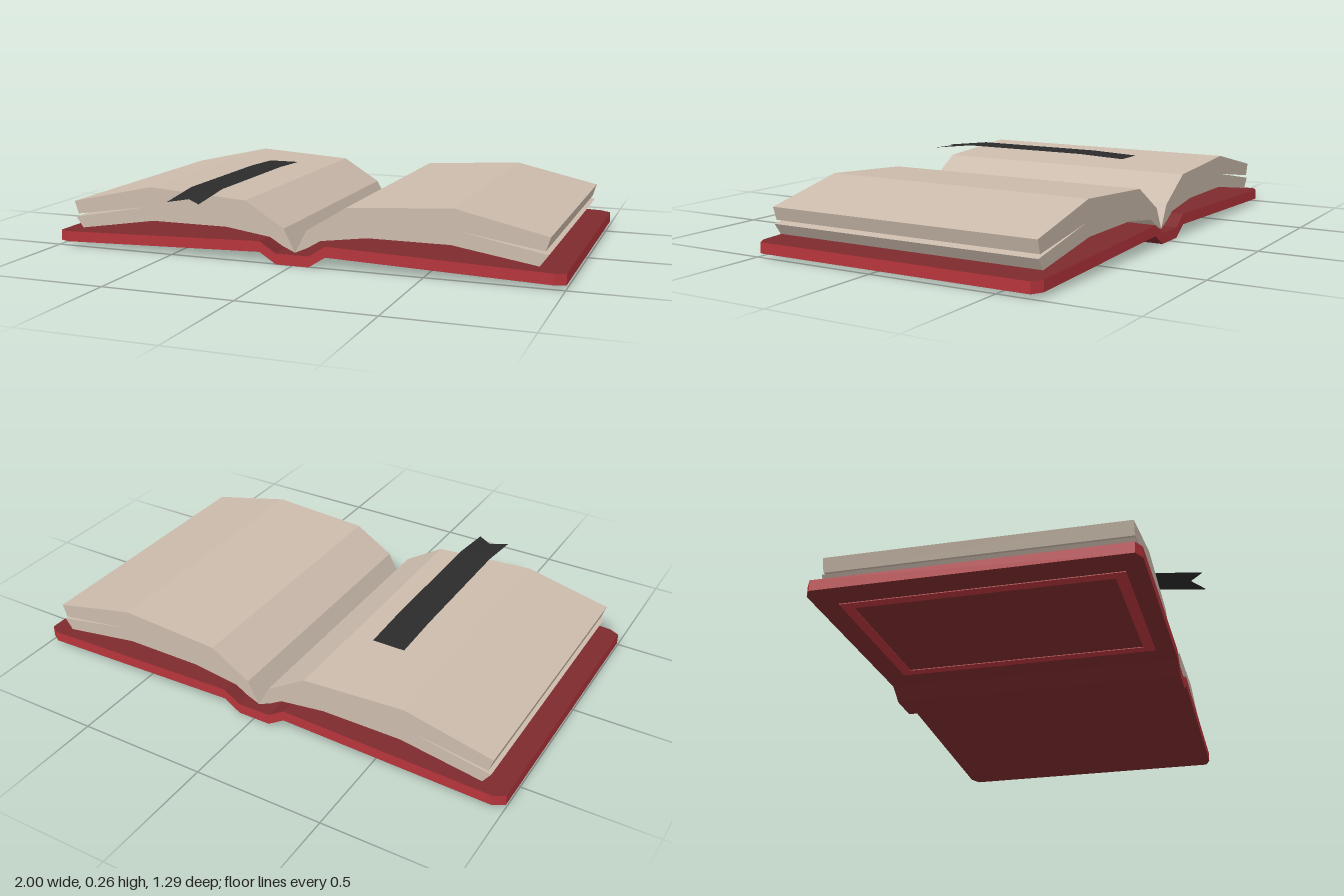
import * as THREE from 'three';

const mat = (name, color, side = THREE.FrontSide) => {
  const m = new THREE.MeshStandardMaterial({ color, side });
  m.name = name;
  return m;
};

// Horizontal slab from a plan outline [x, z], its top following height(x)
function slab(outline, depth, height, hole) {
  const shape = new THREE.Shape(outline.map(([x, z]) => new THREE.Vector2(x, z)));
  if (hole) shape.holes.push(new THREE.Path(hole.map(([x, z]) => new THREE.Vector2(x, z))));
  const g = new THREE.ExtrudeGeometry(shape, { depth, bevelEnabled: false });
  g.rotateX(Math.PI / 2);
  const p = g.attributes.position;
  for (let i = 0; i < p.count; i++) p.setY(i, p.getY(i) + height(p.getX(i)));
  g.computeVertexNormals();
  return g;
}

const rect = (x0, x1, z0, z1) => [[x0, z0], [x1, z0], [x1, z1], [x0, z1]];

export function createModel() {
  const book = new THREE.Group();
  book.name = 'openBook';
  const dark = mat('dark red cover', 0x7d2a2d);
  const red = mat('bright red edge', 0xb5343b);
  const paper = mat('beige paper', 0xcbbbac);
  const black = mat('black ribbon', 0x2b2b2b, THREE.DoubleSide);
  const add = (name, geometry, material) => {
    const mesh = new THREE.Mesh(geometry, material);
    mesh.name = name;
    book.add(mesh);
    return mesh;
  };

  // Height of the cover's top: boards slope up to the hinge, spine lies low
  const T = 0.041, Z0 = -0.65, Z1 = 0.505;
  const coverTop = (x) => {
    const a = Math.abs(x);
    if (a >= 0.13) return 0.083 - (a - 0.13) / 0.87 * 0.027;
    return a <= 0.065 ? T : T + (a - 0.065) / 0.065 * (0.083 - T);
  };

  add('spine', slab(rect(-0.065, 0.065, Z0, Z1), T, coverTop), [dark, red]);
  for (const s of [1, -1]) {
    const side = s > 0 ? 'left' : 'right';
    const flip = (pts) => pts.map(([x, y]) => [s * x, y]);
    // Cover board with clipped outer corners, and the sloping hinge
    const board = [[0.13, Z0], [0.96, Z0], [1, Z0 + 0.025], [1, Z1 - 0.02], [0.96, Z1], [0.13, Z1]];
    add(side + 'Cover', slab(flip(board), T, coverTop), [dark, red]);
    add(side + 'Hinge', slab(flip(rect(0.065, 0.13, Z0, Z1)), T, coverTop), [dark, red]);

    // Page block with a thin slit in its outer edge
    const section = flip([
      [0, 0.043], [0.045, 0.13], [0.2, 0.226], [0.6, 0.251], [0.94, 0.175], [0.924, 0.125],
      [0.61, 0.173], [0.935, 0.112], [0.905, 0.07], [0.59, 0.12], [0.28, 0.12], [0.1, 0.095], [0.05, 0.065],
    ]);
    const g = new THREE.ExtrudeGeometry(
      new THREE.Shape(section.map(([x, y]) => new THREE.Vector2(x, y))),
      { depth: 1.09, bevelEnabled: false });
    g.translate(0, 0, -0.615);
    add(side + 'Pages', g, paper);
  }

  // Frame on the outside of the right cover
  add('coverFrame', slab(rect(-0.885, -0.235, -0.565, 0.435), 0.004,
    (x) => coverTop(x) - T + 0.001, rect(-0.845, -0.275, -0.525, 0.395)), red);

  // Ribbon bookmark: strip of three columns, drooping to a notched end
  const path = [[-0.3, 0.25], [-0.1, 0.258], [0.45, 0.258], [0.645, 0.235]];
  const ribbon = new THREE.PlaneGeometry(0.13, 1, 2, path.length - 1);
  const p = ribbon.attributes.position;
  for (let i = 0; i < p.count; i++) {
    const row = Math.floor(i / 3);
    const notch = row === path.length - 1 && i % 3 === 1;
    p.setXYZ(i, p.getX(i) - 0.37, path[row][1] + (notch ? 0.006 : 0), path[row][0] - (notch ? 0.05 : 0));
  }
  ribbon.computeVertexNormals();
  add('ribbon', ribbon, black);
  return book;
}
